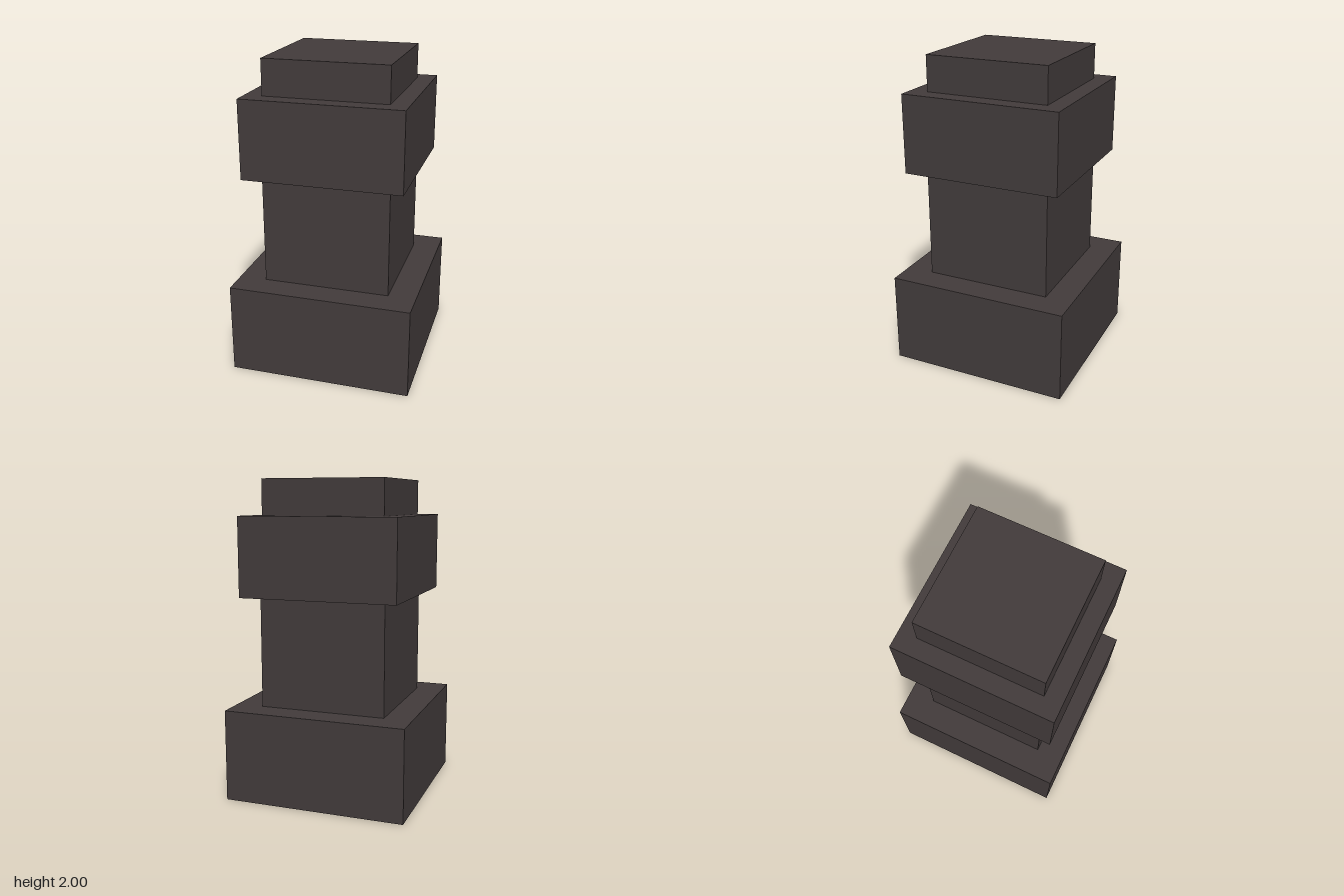
import * as THREE from 'three';

const stone = new THREE.MeshStandardMaterial({ color: 0x423b3b, side: THREE.DoubleSide });
stone.name = 'dark stone';

// Square block with four walls and a top, left open underneath
function openBlock(name, width, bottom, top) {
  const geometry = new THREE.BoxGeometry(width, top - bottom, width);
  const index = Array.from(geometry.index.array);
  index.splice(18, 6); // remove the underside
  geometry.setIndex(index);
  geometry.clearGroups();
  geometry.translate(0, (bottom + top) / 2, 0);
  const mesh = new THREE.Mesh(geometry, stone);
  mesh.name = name;
  return mesh;
}

export function createModel() {
  const pillar = new THREE.Group();
  pillar.name = 'pillar';
  pillar.add(
    openBlock('base', 1.154, 0, 0.58),
    openBlock('shaft', 0.804, 0.58, 1.28),
    openBlock('capital', 1.0, 1.28, 1.777),
    openBlock('topSlab', 0.777, 1.777, 2),
  );
  return pillar;
}
